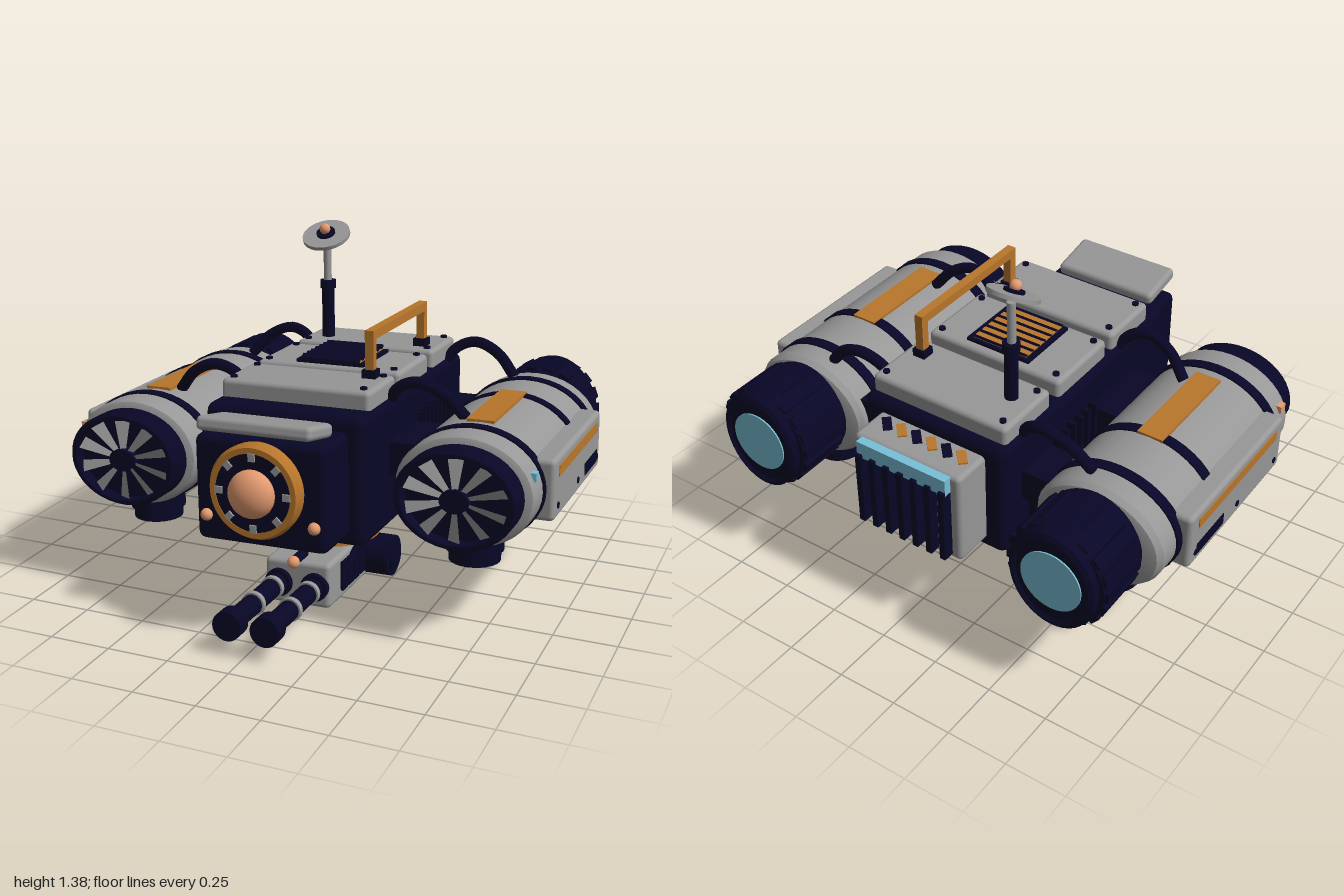
import * as THREE from 'three';
import { toCreasedNormals } from 'three/addons/utils/BufferGeometryUtils.js';
import { RoundedBoxGeometry } from 'three/addons/geometries/RoundedBoxGeometry.js';

const mat = (name, color, side = THREE.FrontSide) => {
  const m = new THREE.MeshStandardMaterial({ color, side });
  m.name = name;
  return m;
};

export function createModel() {
  const navy = mat('navy', 0x080626, THREE.DoubleSide);
  const gray = mat('gray', 0x979797, THREE.DoubleSide);
  const orange = mat('orange', 0xb8762b);
  const salmon = mat('salmon', 0xe39a70);
  const cyan = mat('cyan', 0x78bfd6);

  const add = (parent, name, geo, material, x = 0, y = 0, z = 0) => {
    const m = new THREE.Mesh(geo, material);
    m.name = name;
    m.position.set(x, y, z);
    parent.add(m);
    return m;
  };
  const box = (p, name, m, w, h, d, x, y, z) => add(p, name, new THREE.BoxGeometry(w, h, d), m, x, y, z);
  const rbox = (p, name, m, w, h, d, x, y, z, r = 0.02) =>
    add(p, name, new RoundedBoxGeometry(w, h, d, 2, r), m, x, y, z);
  const cyl = (p, name, m, r, h, x, y, z, axis = 'y', seg = 24) => {
    const g = new THREE.CylinderGeometry(r, r, h, seg);
    if (axis === 'z') g.rotateX(Math.PI / 2);
    if (axis === 'x') g.rotateZ(-Math.PI / 2);
    return add(p, name, g, m, x, y, z);
  };
  const ball = (p, name, m, r, x, y, z) => add(p, name, new THREE.SphereGeometry(r, 20, 14), m, x, y, z);
  // Turned part along z from [radius, z] pairs
  const turned = (p, name, m, pts, x = 0, y = 0, z = 0) => {
    const g = new THREE.LatheGeometry(pts.map(([r, h]) => new THREE.Vector2(r, h)), 40);
    g.rotateX(Math.PI / 2);
    return add(p, name, toCreasedNormals(g, 0.5), m, x, y, z);
  };
  const tube = (p, name, m, pts, r) => add(p, name, new THREE.TubeGeometry(
    new THREE.CatmullRomCurve3(pts.map(a => new THREE.Vector3(...a))), 20, r, 10), m);
  const group = (p, name, x = 0, y = 0, z = 0) => {
    const g = new THREE.Group();
    g.name = name;
    g.position.set(x, y, z);
    p.add(g);
    return g;
  };

  // The craft hovers with a slight pitch and roll about its middle
  const root = new THREE.Group();
  root.name = 'hoverCraft';
  const tilt = group(root, 'tilt', 0, 0.58, 0);
  tilt.rotation.set(-0.03, 0, 0.0235);
  const craft = group(tilt, 'craft', 0, -0.593, 0);

  // Hull
  rbox(craft, 'hull', navy, 0.66, 0.51, 1.16, 0, 0.59, -0.07, 0.04);
  rbox(craft, 'head', navy, 0.53, 0.41, 0.33, 0, 0.58, 0.555, 0.03);
  const visor = rbox(craft, 'visor', gray, 0.46, 0.055, 0.21, 0, 0.825, 0.665);
  visor.rotation.x = -0.19;

  // Roof panels with corner bolts
  for (const [z0, z1] of [[-0.61, -0.31], [-0.26, 0.085], [0.12, 0.405]]) {
    rbox(craft, 'roofPanel', gray, 0.615, 0.09, z1 - z0, 0, 0.87, (z0 + z1) / 2);
    for (const x of [-0.27, 0.27]) for (const z of [z0 + 0.04, z1 - 0.04])
      cyl(craft, 'panelBolt', navy, 0.014, 0.012, x, 0.918, z, 'y', 10);
  }

  // Roof vent: dark frame, orange bed and tilted dark louvres
  box(craft, 'roofVent', navy, 0.29, 0.016, 0.28, 0, 0.92, -0.085);
  box(craft, 'ventBed', orange, 0.25, 0.006, 0.25, 0, 0.93, -0.085);
  for (let i = 0; i < 7; i++) {
    const louvre = box(craft, 'ventLouvre', navy, 0.25, 0.008, 0.026, 0, 0.938, -0.21 + i * 0.0417);
    louvre.rotation.x = 0.6;
  }

  // Front eye
  turned(craft, 'eyeRing', orange, [[0.15, 0], [0.18, 0], [0.183, 0.04], [0.172, 0.06], [0.15, 0.06], [0.15, 0]], 0, 0.603, 0.718);
  cyl(craft, 'eyeSocket', navy, 0.152, 0.06, 0, 0.603, 0.745, 'z', 36);
  for (let i = 0; i < 8; i++) {
    const a = i * Math.PI / 4;
    const t = box(craft, 'eyeTick', gray, 0.03, 0.026, 0.01, Math.cos(a) * 0.136, 0.603 + Math.sin(a) * 0.136, 0.778);
    t.rotation.z = a;
  }
  ball(craft, 'eyeLens', salmon, 0.092, 0, 0.603, 0.785).scale.z = 0.66;
  for (const x of [-0.218, 0.218]) ball(craft, 'headLamp', salmon, 0.024, x, 0.478, 0.722);

  // Rear radiator with hazard stripes
  rbox(craft, 'radiator', gray, 0.49, 0.4, 0.24, 0, 0.59, -0.69);
  box(craft, 'radiatorGlow', cyan, 0.41, 0.07, 0.036, 0, 0.753, -0.825);
  for (let i = 0; i < 7; i++) box(craft, 'radiatorFin', navy, 0.025, 0.32, 0.05, -0.192 + i * 0.064, 0.575, -0.832);
  for (let i = 0; i < 6; i++) {
    const s = box(craft, 'hazardStripe', i % 2 ? navy : orange, 0.036, 0.009, 0.075, -0.178 + i * 0.07, 0.792, -0.7);
    s.rotation.y = 0.75;
  }

  // Carry handle
  for (const z of [-0.4, 0.185]) {
    box(craft, 'handleFoot', navy, 0.055, 0.035, 0.055, 0.228, 0.93, z);
    box(craft, 'handlePost', orange, 0.035, 0.17, 0.035, 0.228, 1.0, z);
  }
  box(craft, 'handleBar', orange, 0.036, 0.036, 0.62, 0.228, 1.083, -0.1075);

  // Antenna
  cyl(craft, 'mastBase', navy, 0.027, 0.23, -0.21, 1.03, -0.43);
  cyl(craft, 'mastCollar', navy, 0.034, 0.035, -0.21, 1.145, -0.43);
  cyl(craft, 'mastRod', gray, 0.017, 0.2, -0.21, 1.235, -0.427);
  const dish = group(craft, 'dish', -0.207, 1.357, -0.41);
  dish.rotation.x = 0.47;
  cyl(dish, 'dishPlate', gray, 0.102, 0.016, 0, 0, 0, 'y', 32);
  cyl(dish, 'dishHub', navy, 0.04, 0.014, 0, 0.012, 0);
  ball(dish, 'dishTip', salmon, 0.023, 0, 0.033, 0);

  // Belly plate with slots
  rbox(craft, 'bellyPlate', gray, 0.49, 0.05, 0.82, 0, 0.328, -0.08);
  for (let i = 0; i < 4; i++) box(craft, 'bellySlot', navy, 0.03, 0.008, 0.26, -0.135 + i * 0.09, 0.301, -0.3);

  // Gun turret
  const turret = group(craft, 'turret', 0, 0.011, 0.06);
  cyl(turret, 'turretMount', navy, 0.185, 0.07, 0, 0.275, 0, 'y', 36);
  cyl(turret, 'turretRing', orange, 0.203, 0.035, 0, 0.224, 0, 'y', 40);
  cyl(turret, 'turretNeck', navy, 0.13, 0.05, 0, 0.2, 0);
  rbox(turret, 'turretBody', gray, 0.275, 0.185, 0.535, 0, 0.1, 0.077);
  for (const x of [-0.075, 0.078]) {
    cyl(turret, 'barrel', navy, 0.04, 0.46, x, 0.098, 0.55, 'z');
    cyl(turret, 'muzzle', navy, 0.058, 0.065, x, 0.098, 0.778, 'z');
    cyl(turret, 'barrelSocket', navy, 0.056, 0.03, x, 0.098, 0.35, 'z');
    for (const z of [0.415, 0.58]) cyl(turret, 'barrelBand', gray, 0.047, 0.022, x, 0.098, z, 'z');
  }
  cyl(turret, 'turretMotor', navy, 0.085, 0.11, 0.19, 0.095, -0.085, 'x');
  cyl(turret, 'motorCap', navy, 0.06, 0.13, 0.19, 0.095, -0.085, 'x');
  for (const s of [-1, 1]) {
    for (let i = 0; i < 4; i++) box(turret, 'sideRib', navy, 0.02, 0.12, 0.05, s * 0.138, 0.105, 0.205 - i * 0.062);
    tube(turret, 'feedHose', navy, [[s * 0.1, 0.19, -0.11], [s * 0.15, 0.2, -0.02], [s * 0.15, 0.18, 0.1], [s * 0.14, 0.12, 0.17]], 0.013);
  }
  cyl(turret, 'sightTube', navy, 0.02, 0.1, 0, 0.203, 0.325, 'z', 12);
  ball(turret, 'sightLens', salmon, 0.025, 0, 0.2, 0.375);

  // Fan blade, wider at the tip
  const bladeShape = new THREE.Shape([[0.05, -0.011], [0.198, -0.032], [0.198, 0.027], [0.05, 0.011]].map(p => new THREE.Vector2(...p)));
  const bladeGeo = new THREE.ShapeGeometry(bladeShape).rotateX(0.45);

  for (const s of [-1, 1]) {
    const pod = group(craft, s > 0 ? 'leftPod' : 'rightPod', s * 0.685, 0.581, 0);

    // Oval shell, straps and intake
    const shell = group(pod, 'podShell');
    shell.scale.y = 0.8;
    turned(shell, 'casing', gray, [[0, -0.59], [0.225, -0.59], [0.255, -0.58], [0.27, -0.555], [0.27, 0.415], [0.262, 0.435], [0.24, 0.445], [0, 0.445]]);
    for (const z of [-0.445, -0.19, 0.305]) cyl(shell, 'strap', navy, 0.278, 0.046, 0, 0, z, 'z', 40);
    turned(shell, 'intake', navy, [[0.235, 0.43], [0.235, 0.535], [0.225, 0.55], [0.208, 0.55], [0.2, 0.505], [0, 0.505]]);
    for (let i = 0; i < 10; i++) add(shell, 'fanBlade', bladeGeo, gray, 0, 0, 0.53).rotation.z = (i + 0.5) * Math.PI / 5;
    cyl(shell, 'fanHub', navy, 0.056, 0.05, 0, 0, 0.522, 'z');

    // Rear nozzle
    const nozzle = group(pod, 'nozzleGroup', 0, 0.01, 0);
    turned(nozzle, 'nozzle', navy, [[0, -0.845], [0.2, -0.845], [0.2, -0.59], [0.19, -0.57], [0, -0.57]]);
    turned(nozzle, 'nozzleLip', navy, [[0, -0.874], [0.15, -0.874], [0.16, -0.885], [0.178, -0.875], [0.185, -0.8]]).scale.y = 1.18;
    cyl(nozzle, 'nozzleGlow', cyan, 0.126, 0.02, 0, 0, -0.87, 'z', 36);
    for (let i = 0; i < 18; i++) {
      const a = i * Math.PI / 9;
      const f = box(nozzle, 'nozzleFlap', navy, 0.02, 0.045, 0.22, Math.cos(a) * 0.203, Math.sin(a) * 0.203, -0.73);
      f.rotation.z = a;
    }

    // Top plate and outer side panel
    box(pod, 'topPlate', orange, 0.107, 0.03, 0.455, 0, 0.209, 0.01);
    rbox(pod, 'sidePanel', gray, 0.11, 0.238, 0.74, s * 0.253, -0.002, -0.065);
    box(pod, 'sideStripe', orange, 0.008, 0.042, 0.62, s * 0.307, 0.062, -0.065);
    box(pod, 'sideSlot', navy, 0.008, 0.05, 0.205, s * 0.307, -0.06, -0.275);
    for (const z of [-0.385, -0.06, 0.25])
      cyl(pod, 'sideBolt', navy, 0.013, 0.012, s * 0.306, -0.068, z, 'x', 10);
    box(pod, 'markerLight', s > 0 ? cyan : salmon, 0.03, 0.032, 0.038, s * 0.25, 0.08, 0.39);

    // Lift thrusters underneath
    for (const z of [0.275, -0.43]) {
      cyl(pod, 'thruster', navy, 0.112, 0.095, 0, -0.222, z);
      cyl(pod, 'thrusterSkirt', navy, 0.1, 0.1, 0, -0.263, z);
      cyl(pod, 'thrusterGlow', cyan, 0.068, 0.004, 0, -0.314, z);
      cyl(pod, 'thrusterHub', navy, 0.025, 0.008, 0, -0.316, z, 'y', 12);
      for (let i = 0; i < 4; i++) box(pod, 'thrusterSpoke', navy, 0.14, 0.006, 0.02, 0, -0.315, z).rotation.y = i * Math.PI / 4;
    }

    // Struts, rods and hoses to the hull
    for (const [z, d] of [[0.1, 0.31], [-0.44, 0.19]]) {
      box(craft, 'strut', navy, 0.18, 0.13, d, s * 0.39, 0.62, z);
      cyl(craft, 'strutRod', gray, 0.02, 0.22, s * 0.39, 0.505, z, 'x', 12);
      box(craft, 'strutFoot', navy, 0.04, 0.1, 0.1, s * 0.34, 0.485, z);
    }
    for (const [z, bow] of [[0.175, 0.035], [-0.49, -0.035]])
      tube(craft, 'hose', navy, [[s * 0.61, 0.79, z], [s * 0.53, 0.878, z + bow * 0.7], [s * 0.43, 0.918, z + bow],
        [s * 0.35, 0.89, z + bow * 0.7], [s * 0.29, 0.81, z]], 0.023);
    for (let i = 0; i < 6; i++) box(craft, 'hullFin', navy, 0.05, 0.24, 0.018, s * 0.34, 0.6, -0.32 + i * 0.05);
  }
  return root;
}
